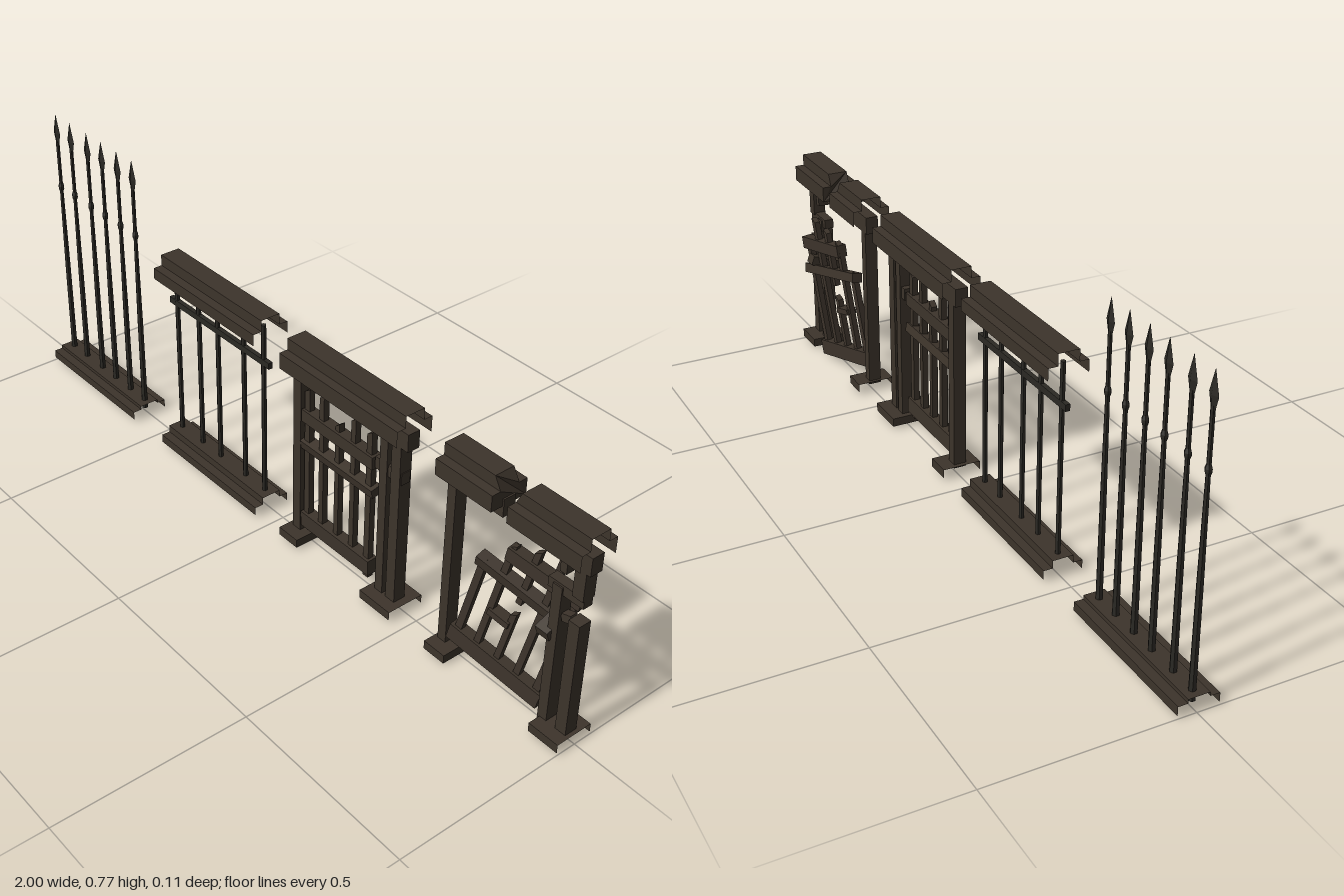
import * as THREE from 'three';

// Wood is double-sided because the mouldings are open shells
const wood = new THREE.MeshStandardMaterial({ color: 0x3d342b, flatShading: true, side: THREE.DoubleSide });
wood.name = 'darkWood';
const iron = new THREE.MeshStandardMaterial({ color: 0x2b2924, flatShading: true });
iron.name = 'darkIron';
const ZC = 0.004; // depth centre of the panels

function add(parent, name, geo, mat) {
  const mesh = new THREE.Mesh(geo, mat);
  mesh.name = name;
  parent.add(mesh);
  return mesh;
}

// Box given by its limits in x and y, with depth and centre in z
function box(parent, name, x0, x1, y0, y1, depth = 0.034, z = 0.005, mat = wood) {
  const mesh = add(parent, name, new THREE.BoxGeometry(x1 - x0, y1 - y0, depth), mat);
  mesh.position.set((x0 + x1) / 2, (y0 + y1) / 2, z);
  return mesh;
}

// Stepped moulding along x, open below. steps: [halfDepth, y0, y1] from bottom to top.
// Ends are open unless closed; x0 and x1 may be functions of y for broken ends.
function moulding(parent, name, steps, x0, x1, closeLeft = false, closeRight = false) {
  const right = steps.flatMap(([h, a, b]) => [[h, a], [h, b]]);
  const left = right.map(([h, y]) => [-h, y]).reverse();
  const shape = new THREE.Shape([...right, ...left].map(([u, y]) => new THREE.Vector2(u - ZC, y)));
  const src = new THREE.ExtrudeGeometry(shape, { depth: 1, bevelEnabled: false });
  src.rotateY(Math.PI / 2);
  const p = src.attributes.position;
  const lids = src.groups[0].count;
  const out = [];
  for (let i = 0; i < p.count; i++) {
    if (i < lids / 2 && !closeLeft) continue;
    if (i >= lids / 2 && i < lids && !closeRight) continue;
    if (src.attributes.normal.getY(i) < -0.5) continue;
    const y = p.getY(i);
    const end = p.getX(i) > 0.5 ? x1 : x0;
    out.push(typeof end === 'function' ? end(y) : end, y, p.getZ(i));
  }
  const geo = new THREE.BufferGeometry();
  geo.setAttribute('position', new THREE.Float32BufferAttribute(out, 3));
  geo.computeVertexNormals();
  return add(parent, name, geo, wood);
}

// Flat-bladed spear with a collar
function spear(parent, x) {
  const g = new THREE.Group();
  g.name = 'spear';
  g.position.set(x, 0, 0.002);
  const lathe = (pts, n) => new THREE.LatheGeometry(pts.map(([r, y]) => new THREE.Vector2(r, y)), n);
  add(g, 'shaft', lathe([[0.009, 0.015], [0.008, 0.3], [0.0055, 0.54], [0.0085, 0.549],
    [0.0085, 0.555], [0.0055, 0.564], [0.0055, 0.69]], 6), iron);
  const head = add(g, 'spearhead', lathe([[0.005, 0.672], [0.016, 0.712], [0.0005, 0.765]], 4), iron);
  head.scale.z = 0.38;
  parent.add(g);
}

// Gate leaf, origin at the middle of its bottom rail
function gate(bars, rails) {
  const g = new THREE.Group();
  g.name = 'gate';
  bars.forEach(([x, y0, y1, w]) => {
    const bar = box(g, 'gateBar', x - w / 2, x + w / 2, y0, y1, 0.016, 0);
    // Splintered slanted top
    const p = bar.geometry.attributes.position;
    for (let i = 0; i < p.count; i++)
      if (p.getY(i) > 0 && p.getX(i) < 0) p.setY(i, p.getY(i) - 0.012);
    bar.geometry.computeVertexNormals();
  });
  rails.forEach(([x0, x1, y, h, tiltX, tiltZ]) => {
    box(g, 'gateRail', x0, x1, y - h / 2, y + h / 2, 0.03, 0).rotation.set(tiltX, 0, tiltZ);
  });
  return g;
}

export function createModel() {
  const root = new THREE.Group();
  root.name = 'fenceSet';
  const panel = (name) => {
    const g = new THREE.Group();
    g.name = name;
    root.add(g);
    return g;
  };

  // Spear fence
  const spears = panel('spearFence');
  moulding(spears, 'base', [[0.051, 0.007, 0.03], [0.027, 0.03, 0.04]], -1, -0.59);
  [-0.976, -0.907, -0.826, -0.757, -0.684, -0.615].forEach((x) => spear(spears, x));

  // Railing between two mouldings
  const rail = panel('barFence');
  moulding(rail, 'base', [[0.051, 0.007, 0.03], [0.027, 0.03, 0.05]], -0.455, -0.043);
  moulding(rail, 'cap', [[0.051, 0.512, 0.543], [0.027, 0.543, 0.573]], -0.455, -0.043);
  box(rail, 'crossBar', -0.455, -0.043, 0.428, 0.445, 0.012, ZC, iron);
  [-0.43, -0.337, -0.257, -0.15, -0.07].forEach((x) => {
    add(rail, 'bar', new THREE.CylinderGeometry(0.007, 0.007, 0.5, 6), iron).position.set(x, 0.29, ZC);
  });

  const capSteps = [[0.051, 0.5, 0.542], [0.027, 0.542, 0.573]];
  const footSteps = [[0.051, 0.007, 0.03]];

  // Whole gateway
  const whole = panel('gateway');
  moulding(whole, 'cap', capSteps, 0.055, 0.465);
  box(whole, 'lintel', 0.055, 0.465, 0.473, 0.52);
  moulding(whole, 'leftFoot', footSteps, 0.055, 0.123, false, true);
  moulding(whole, 'rightFoot', footSteps, 0.36, 0.465, true, false);
  [[0.067, 0.095], [0.376, 0.401], [0.414, 0.444]].forEach(([a, b]) =>
    box(whole, 'post', a, b, 0.02, 0.48));
  box(whole, 'latchBlock', 0.357, 0.446, 0.37, 0.402, 0.026);
  const shut = gate(
    [[-0.11, -0.03, 0.386, 0.018], [-0.057, 0, 0.395, 0.016], [0, 0, 0.347, 0.015],
      [0.056, 0, 0.392, 0.016], [0.112, -0.035, 0.386, 0.018]],
    [[-0.123, 0.128, 0, 0.043, 0.04, 0], [-0.126, 0.133, 0.224, 0.024, 0.2, 0],
      [-0.123, 0.13, 0.307, 0.034, 0, 0]],
  );
  shut.position.set(0.222, 0.071, 0.008);
  whole.add(shut);

  // Broken gateway
  const broken = panel('brokenGateway');
  moulding(broken, 'leftCap', capSteps, 0.585, (y) => (y > 0.56 ? 0.735 : 0.753), false, true);
  moulding(broken, 'rightCap', capSteps, (y) => (y > 0.56 ? 0.812 : 0.797), 1, true, false);
  box(broken, 'leftLintel', 0.585, 0.757, 0.473, 0.52);
  box(broken, 'rightLintel', 0.84, 1, 0.473, 0.52);
  moulding(broken, 'leftFoot', footSteps, 0.585, 0.65, false, true);
  moulding(broken, 'rightFoot', footSteps, 0.915, 1, true, false);
  box(broken, 'leftPost', 0.594, 0.619, 0.02, 0.48);
  box(broken, 'innerPost', 0.908, 0.934, 0.02, 0.4);
  box(broken, 'outerPost', 0.96, 0.99, 0.02, 0.335);
  box(broken, 'outerPostStub', 0.96, 0.99, 0.4, 0.48);
  box(broken, 'innerPostStub', 0.922, 0.94, 0.44, 0.48);
  box(broken, 'latchBlock', 0.892, 0.99, 0.38, 0.406, 0.026);
  box(broken, 'splinter', 0.934, 0.962, 0.315, 0.335, 0.02).rotation.z = 0.3;
  box(broken, 'looseStrap', 0.885, 0.92, 0.265, 0.291, 0.088, -0.01).rotation.x = 0.35;

  // Gate hanging askew
  const fallen = gate(
    [[-0.11, -0.02, 0.25, 0.018], [-0.057, 0, 0.335, 0.016], [0, 0, 0.17, 0.015],
      [0, 0.2, 0.365, 0.015], [0.056, 0, 0.392, 0.016], [0.112, -0.026, 0.32, 0.018]],
    [[-0.128, 0.13, 0, 0.043, 0, 0], [-0.126, 0.145, 0.237, 0.026, 0.2, 0],
      [-0.065, 0.13, 0.312, 0.034, 0, 0.05], [-0.057, 0, 0.13, 0.016, 0, 0]],
  );
  fallen.position.set(0.752, 0.051, -0.005);
  fallen.rotation.set(-0.035, 0.15, -0.21);
  broken.add(fallen);

  return root;
}
